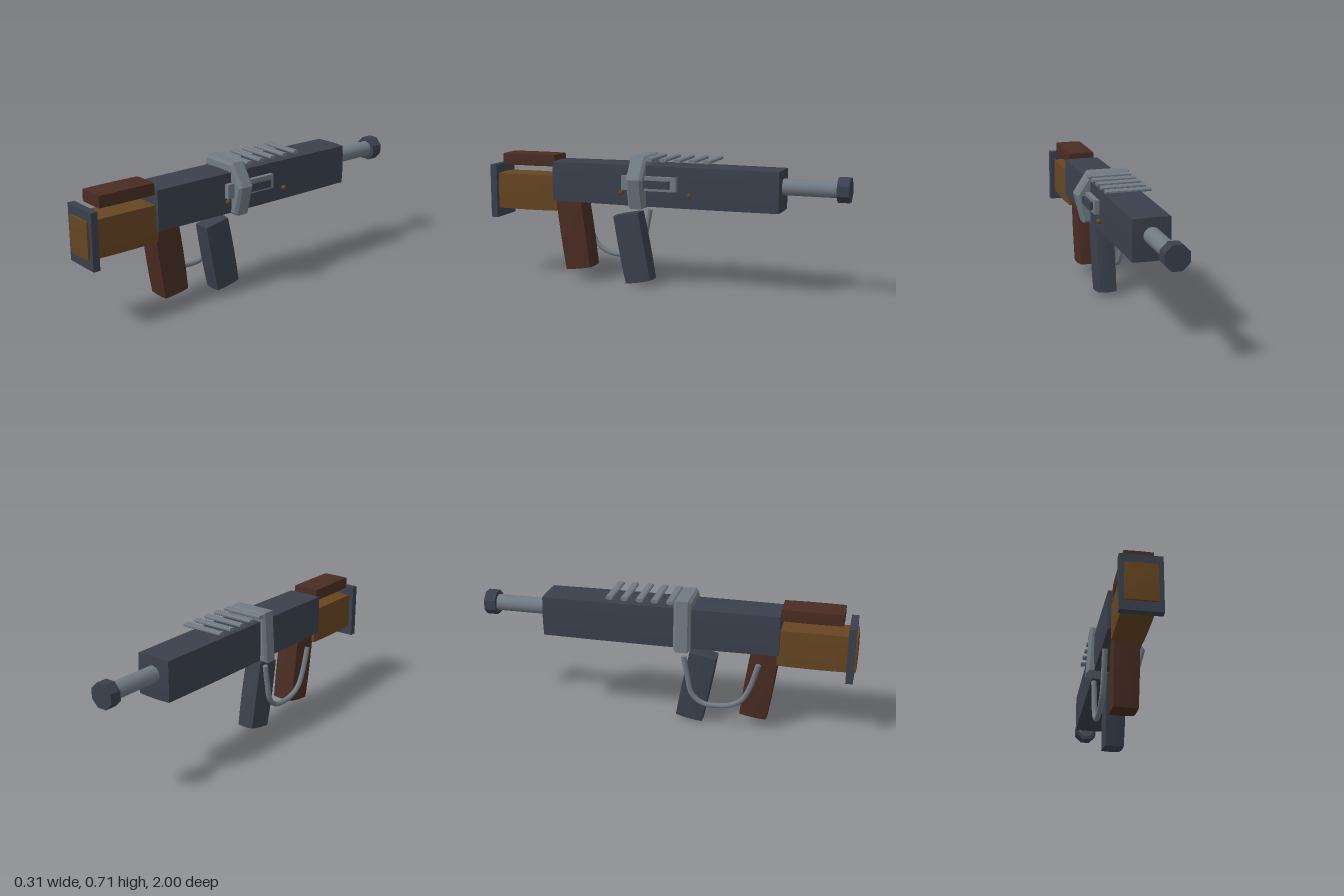
import * as THREE from 'three';

const mat = (name, color) => {
  const m = new THREE.MeshStandardMaterial({ color, flatShading: true });
  m.name = name;
  return m;
};

export function createModel() {
  const group = new THREE.Group();
  const dark = mat('gunmetal', 0x3a404c);
  const steel = mat('steel', 0x717a83);
  const amber = mat('amber wood', 0x664522);
  const brown = mat('dark wood', 0x4a2c23);
  const CX = -0.019; // centre line of the gun

  const add = (name, geometry, material, x = 0, y = 0, z = 0) => {
    const mesh = new THREE.Mesh(geometry, material);
    mesh.name = name;
    mesh.position.set(x, y, z);
    group.add(mesh);
    return mesh;
  };

  // Box whose faces swell slightly outward from their edges
  const swollenBox = (w, h, d, amount) => {
    const g = new THREE.BoxGeometry(w, h, d, 4, 4, 4);
    const p = g.attributes.position;
    const size = [w / 2, h / 2, d / 2];
    for (let i = 0; i < p.count; i++) {
      const n = [p.getX(i) / size[0], p.getY(i) / size[1], p.getZ(i) / size[2]];
      const out = n.map((v, a) => {
        const b = n[(a + 1) % 3], c = n[(a + 2) % 3];
        return v * (size[a] + amount * (1 - (b * b + c * c) / 2));
      });
      p.setXYZ(i, ...out);
    }
    g.computeVertexNormals();
    return g;
  };

  // Receiver
  add('receiver', swollenBox(0.192, 0.212, 1.255, 0.005), dark, CX, 0.556, -0.025);

  // Stock, butt plate and cheek rest
  add('stock', swollenBox(0.156, 0.192, 0.4, 0.005), amber, CX, 0.486, 0.793);
  add('buttPlate', new THREE.BoxGeometry(0.208, 0.295, 0.037), dark, CX, 0.485, 0.966);
  add('cheekRest', swollenBox(0.144, 0.061, 0.312, 0.002), brown, CX, 0.664, 0.762);

  // Slanted grip and magazine
  add('grip', swollenBox(0.122, 0.398, 0.143, 0.005), brown, CX, 0.27, 0.5045).rotation.x = 0.14;
  add('magazine', swollenBox(0.094, 0.374, 0.143, 0.005), dark, CX, 0.203, 0.1645).rotation.x = 0.19;

  // Barrel and muzzle
  const barrel = new THREE.CylinderGeometry(0.043, 0.043, 0.32, 16).rotateX(Math.PI / 2);
  const barrelMat = new THREE.MeshStandardMaterial({ color: 0x717a83 });
  barrelMat.name = 'smooth steel';
  add('barrel', barrel, barrelMat, CX, 0.576, -0.8);
  const muzzle = new THREE.CylinderGeometry(0.067, 0.067, 0.062, 8).rotateX(Math.PI / 2).rotateZ(Math.PI / 8);
  add('muzzle', muzzle, dark, CX, 0.576, -0.969);

  // Five-sided bevelled clamp around the receiver
  const clamp = new THREE.Shape([
    [-0.157, 0.437], [0.117, 0.437], [0.157, 0.595], [0.08, 0.712], [-0.138, 0.712],
  ].map(([x, y]) => new THREE.Vector2(x, y)));
  add('clamp', new THREE.ExtrudeGeometry(clamp, {
    depth: 0.062, bevelEnabled: true, bevelSegments: 1,
    bevelSize: 0.013, bevelThickness: 0.014, bevelOffset: -0.013,
  }), steel, 0, 0, 0.073);

  // Top rail slats with chamfered section
  const section = new THREE.Shape([
    [-0.019, 0.004], [-0.019, -0.004], [-0.01, -0.01], [0.01, -0.01],
    [0.019, -0.004], [0.019, 0.004], [0.012, 0.009], [-0.012, 0.009],
  ].map(([x, y]) => new THREE.Vector2(x, y)));
  for (let i = 0; i < 5; i++) {
    const slat = new THREE.ExtrudeGeometry(section, { depth: 0.236, bevelEnabled: false });
    slat.translate(0, 0, -0.118).rotateY(Math.PI / 2);
    add('railSlat', slat, steel, CX, 0.699, 0.04 - i * 0.08);
  }

  // Ejection port with raised bolt
  add('portFrame', new THREE.BoxGeometry(0.04, 0.076, 0.305), steel, 0.087, 0.573, 0.037);
  add('bolt', new THREE.BoxGeometry(0.045, 0.04, 0.15), dark, 0.103, 0.571, -0.008);

  // Brass-toned studs on the side
  for (const z of [0.19, -0.19]) {
    add('stud', new THREE.SphereGeometry(0.0128, 12, 8), amber, 0.106, 0.522, z);
  }

  // Curved side lever
  const path = new THREE.CatmullRomCurve3([
    [0.4, 0.11], [0.29, 0.13], [0.19, 0.155], [0.142, 0.21], [0.134, 0.28],
    [0.145, 0.36], [0.18, 0.42], [0.25, 0.46], [0.39, 0.503],
  ].map(([y, z]) => new THREE.Vector3(-0.114, y, z)));
  const leverMat = dark === null ? steel : barrelMat;
  add('lever', new THREE.TubeGeometry(path, 32, 0.0145, 8), leverMat);
  for (const [t, turn] of [[0, -1], [1, 1]]) {
    const cap = add('leverEnd', new THREE.CircleGeometry(0.0145, 8), leverMat);
    cap.position.copy(path.getPointAt(t));
    cap.lookAt(cap.position.clone().addScaledVector(path.getTangentAt(t), turn));
  }

  return group;
}
